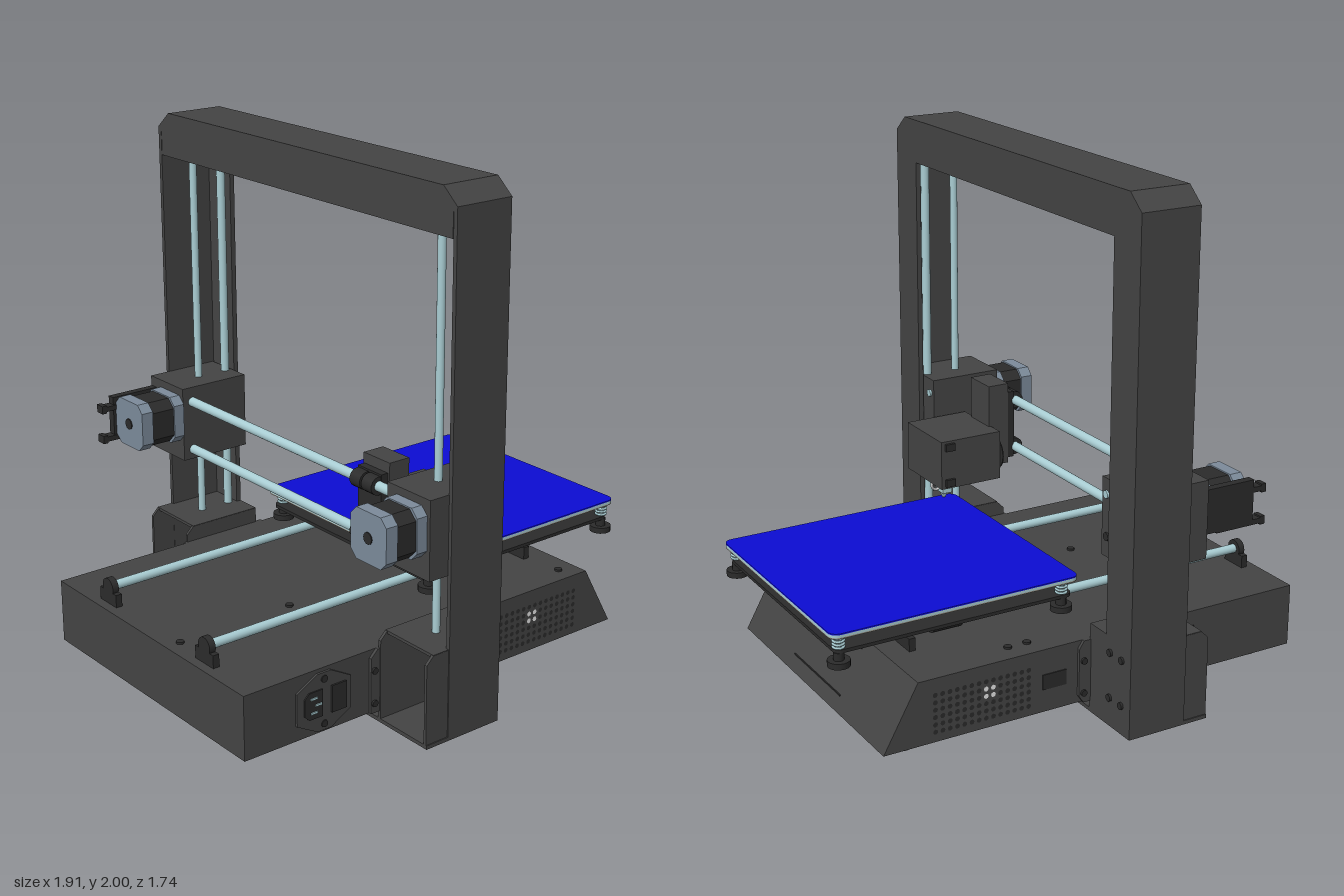
import * as THREE from 'three';

const mat = (name, color) => Object.assign(new THREE.MeshStandardMaterial({ color }), { name });

export function createModel() {
  const model = new THREE.Group();
  model.name = 'desktopPrinter';
  const dark = mat('dark grey metal', 0x444444);
  const black = mat('black plastic', 0x2b2b2b);
  const steel = mat('pale steel', 0xa9cdd3);
  const motorGrey = mat('motor grey', 0x7c8b9b);
  const blue = mat('blue print surface', 0x0c0cd2);
  const beige = mat('beige bed underside', 0x99958a);
  const white = mat('white opening', 0xf4f4f4);

  const add = (name, geo, m) => {
    const mesh = new THREE.Mesh(geo, m);
    mesh.name = name;
    model.add(mesh);
    return mesh;
  };
  const box = (name, m, x0, x1, y0, y1, z0, z1) => add(name,
    new THREE.BoxGeometry(x1 - x0, y1 - y0, Math.abs(z1 - z0))
      .translate((x0 + x1) / 2, (y0 + y1) / 2, (z0 + z1) / 2), m);
  // Cylinder between two points
  const rod = (name, m, r, a, b, seg = 16, r2 = r) => {
    const A = new THREE.Vector3(...a), B = new THREE.Vector3(...b);
    const d = B.clone().sub(A);
    const mesh = add(name, new THREE.CylinderGeometry(r2, r, d.length(), seg), m);
    mesh.position.copy(A).add(B).multiplyScalar(0.5);
    mesh.quaternion.setFromUnitVectors(new THREE.Vector3(0, 1, 0), d.normalize());
    return mesh;
  };
  const poly = (pts) => new THREE.Shape(pts.map(p => new THREE.Vector2(...p)));
  const extrude = (shape, depth) => new THREE.ExtrudeGeometry(shape, { depth, bevelEnabled: false, curveSegments: 8 });
  // xy outline extruded from z0 to z1
  const slabZ = (name, m, pts, z0, z1) => add(name, extrude(poly(pts), z1 - z0).translate(0, 0, z0), m);
  // (-z, y) outline extruded from x0 to x1
  const slabX = (name, m, pts, x0, x1) =>
    add(name, extrude(poly(pts), x1 - x0).rotateY(Math.PI / 2).translate(x0, 0, 0), m);
  // Horizontal plate with rounded corners
  const plate = (name, m, x0, x1, y0, y1, w, r) => {
    const s = new THREE.Shape();
    const c = [[x1 - r, w - r, 0], [x0 + r, w - r, 1], [x0 + r, r - w, 2], [x1 - r, r - w, 3]];
    for (const [x, z, q] of c) s.absarc(x, z, r, q * Math.PI / 2, (q + 1) * Math.PI / 2, false);
    s.closePath();
    return add(name, extrude(s, y1 - y0).rotateX(-Math.PI / 2).translate(0, y0, 0), m);
  };

  // Base housing with sloped nose, and feet
  slabZ('baseHousing', dark, [[-0.96, 0.05], [0.82, 0.05], [0.68, 0.3], [-0.96, 0.3]], -0.6, 0.6);
  for (const x of [-0.84, 0.69]) for (const z of [-0.48, 0.48])
    rod('foot', black, 0.042, [x, 0, z], [x, 0.05, z], 20, 0.055);
  box('crossPlate', dark, -0.37, -0.03, 0.005, 0.02, -0.87, 0.87);

  // Gantry: chamfered front panel, outer skin and rear of the top beam
  const outer = [[-0.87, 0.02], [-0.87, 1.94], [-0.8, 2], [0.8, 2], [0.87, 1.94], [0.87, 0.02]];
  const inner = [[0.71, 0.02], [0.71, 1.83], [-0.71, 1.83], [-0.71, 0.02]];
  slabX('gantryFront', dark, [...outer, ...inner], -0.05, -0.03);
  const skin = outer.map(([z, y]) => [z * 0.98, y > 1.9 ? y - 0.02 : y]).reverse();
  slabX('gantrySkin', dark, [...outer, ...skin], -0.27, -0.05);
  slabX('beamBack', dark, [[-0.85, 1.83], [-0.85, 1.93], [-0.79, 1.98], [0.79, 1.98], [0.85, 1.93], [0.85, 1.83]], -0.27, -0.25);
  box('beamUnderside', dark, -0.25, -0.05, 1.83, 1.845, -0.71, 0.71);

  for (const s of [-1, 1]) {
    // Foot housings, open at the rear
    const side = [[-0.37, 0.02], [-0.03, 0.02], [-0.03, 0.36], [-0.34, 0.36], [-0.37, 0.33]];
    for (const z of [0.61, 0.86]) slabZ('footHousingSide', dark, side, s * z - 0.006, s * z + 0.006);
    box('footHousingTop', dark, -0.34, -0.03, 0.35, 0.362, s * 0.605, s * 0.865);
    box('footHousingFront', dark, -0.05, -0.03, 0.02, 0.362, s * 0.605, s * 0.72);
    slabZ('mountFlange', dark, [[-0.41, 0.05], [0, 0.05], [0.02, 0.08], [0.02, 0.27], [0, 0.3], [-0.38, 0.3], [-0.41, 0.27]],
      s * 0.606 - 0.006, s * 0.606 + 0.006);
    for (const y of [0.09, 0.22]) for (const x of [-0.395, 0])
      rod('flangeScrew', black, 0.013, [x, y, s * 0.61], [x, y, s * 0.62], 10);
    for (const y of [0.12, 0.3]) for (const z of [0.74, 0.815])
      rod('columnScrew', black, 0.014, [-0.03, y, s * z], [-0.021, y, s * z], 10);

    // Vertical guide rod and lead screw
    rod('zGuideRod', steel, 0.017, [-0.08, 0.36, s * 0.73], [-0.08, 1.84, s * 0.73]);
    rod('zLeadScrew', steel, 0.015, [-0.21, 0.36, s * 0.73], [-0.21, 1.84, s * 0.73]);

    // End blocks carrying the horizontal rods
    box('endBlock', dark, -0.355, -0.055, 0.64, 0.94, s * 0.63, s * 0.855);
    rod('endBlockScrew', black, 0.016, [-0.055, 0.72, s * 0.665], [-0.048, 0.72, s * 0.665], 10);
    rod('rodEnd', steel, 0.015, [-0.055, 0.88, s * 0.66], [-0.047, 0.88, s * 0.66], 12);

    // Bed guide rods, supports and bearings
    const z = s * 0.315;
    rod('bedRod', steel, 0.018, [-0.92, 0.365, z], [0.59, 0.365, z]);
    for (const x of [-0.91, 0.58]) {
      rod('rodSupport', black, 0.036, [x - 0.013, 0.365, z], [x + 0.013, 0.365, z], 16);
      box('rodSupportBase', black, x - 0.013, x + 0.013, 0.3, 0.35, z - 0.055, z + 0.055);
    }
    rod('bedBearing', black, 0.037, [0.36, 0.365, z], [0.48, 0.365, z], 16);
    box('bearingBlock', black, 0.35, 0.49, 0.385, 0.416, z - 0.07, z + 0.07);

    // Levelling springs and thumb nuts
    for (const x of [0, 0.91]) {
      const p = s * 0.45;
      rod('levelScrew', steel, 0.011, [x, 0.37, p], [x, 0.48, p], 10);
      for (let i = 0; i < 4; i++) {
        const coil = add('springCoil', new THREE.TorusGeometry(0.02, 0.005, 6, 14).rotateX(Math.PI / 2), steel);
        coil.position.set(x, 0.435 + i * 0.012, p);
      }
      rod('thumbNut', black, 0.042, [x, 0.362, p], [x, 0.385, p], 16);
      rod('thumbNutNeck', black, 0.02, [x, 0.385, p], [x, 0.415, p], 12);
    }

    // Vent grid on the base flank
    for (let i = 0; i < 14; i++) for (let j = 0; j < 6; j++) {
      const open = (i === 5 || i === 6) && (j === 3 || j === 4);
      const hole = add('ventHole', new THREE.CircleGeometry(0.01, 8), open ? white : black);
      hole.position.set(0.23 + i * 0.0295, 0.09 + j * 0.029, s * 0.602);
      if (s < 0) hole.rotation.y = Math.PI;
    }
  }

  // Heated bed
  plate('bedCarriagePlate', black, -0.04, 0.93, 0.415, 0.428, 0.47, 0.03);
  plate('bedOpening', beige, 0.25, 0.67, 0.411, 0.415, 0.24, 0.18);
  plate('bedHeater', beige, -0.06, 0.95, 0.478, 0.483, 0.485, 0.035);
  plate('bedGlass', steel, -0.06, 0.95, 0.483, 0.493, 0.485, 0.035);
  plate('bedSurface', blue, -0.06, 0.95, 0.493, 0.498, 0.485, 0.035);

  // Horizontal rods and print head
  for (const y of [0.68, 0.88]) rod('xRod', steel, 0.019, [-0.31, y, -0.64], [-0.31, y, 0.64]);
  box('headCarriage', dark, -0.27, -0.18, 0.62, 0.96, 0.395, 0.54);
  for (const y of [0.68, 0.88]) for (const z of [0.435, 0.5])
    rod('headBearing', black, 0.035, [-0.31, y, z - 0.028], [-0.31, y, z + 0.028], 14);
  box('bearingCarrier', black, -0.3, -0.26, 0.64, 0.92, 0.4, 0.53);
  box('headCover', dark, -0.19, 0.077, 0.59, 0.79, 0.325, 0.61);
  for (const y of [0.615, 0.765]) for (const z of [0.32, 0.615])
    box('coverClip', black, 0.02, 0.06, y - 0.015, y + 0.015, z - 0.007, z + 0.007);
  rod('coolingFan', black, 0.07, [-0.194, 0.69, 0.37], [-0.19, 0.69, 0.37], 20);
  box('heaterBlock', steel, -0.02, 0.02, 0.53, 0.56, 0.42, 0.48);
  rod('heatBreak', steel, 0.012, [0, 0.56, 0.45], [0, 0.59, 0.45], 10);
  rod('nozzle', steel, 0.007, [0, 0.505, 0.45], [0, 0.53, 0.45], 10, 0.018);
  const wire = new THREE.CatmullRomCurve3([[0, 0.545, 0.46], [0.035, 0.54, 0.46], [0.055, 0.56, 0.45], [0.055, 0.6, 0.44]]
    .map(p => new THREE.Vector3(...p)));
  add('heaterWire', new THREE.TubeGeometry(wire, 12, 0.006, 6), white);

  // Motors with chamfered square caps around a dark core
  const motor = (name, z, x0) => {
    const cap = (h, c) => [[-h, c - h], [c - h, -h], [h - c, -h], [h, c - h], [h, h - c], [h - c, h], [c - h, h], [-h, h - c]]
      .map(([a, b]) => [a - z, b + 0.815]);
    slabX(name + 'RearCap', motorGrey, cap(0.095, 0.03), x0, x0 + 0.05);
    slabX(name + 'Core', black, cap(0.09, 0.035), x0 + 0.05, -0.4);
    slabX(name + 'FrontCap', motorGrey, cap(0.095, 0.03), -0.4, -0.355);
    rod(name + 'Shaft', black, 0.022, [x0 - 0.004, 0.815, z], [x0, 0.815, z], 14);
  };
  motor('drive', 0.745, -0.535);
  motor('feeder', -0.72, -0.55);
  // Feeder arms beside the rear motor
  box('feederPlate', black, -0.56, -0.355, 0.73, 0.9, -0.85, -0.818);
  for (const y of [0.735, 0.86]) {
    box('feederArm', black, -0.6, -0.4, y - 0.01, y + 0.01, -0.85, -0.81);
    box('feederArmTip', black, -0.615, -0.595, y - 0.016, y + 0.016, -0.85, -0.81);
  }

  // Power inlet with switch, card slot and rear hatch
  slabZ('powerInlet', dark, [[-0.74, 0.11], [-0.65, 0.06], [-0.59, 0.06], [-0.5, 0.11], [-0.5, 0.235], [-0.59, 0.285], [-0.65, 0.285], [-0.74, 0.235]], 0.6, 0.609);
  slabZ('inletSocket', black, [[-0.71, 0.14], [-0.69, 0.12], [-0.63, 0.12], [-0.63, 0.225], [-0.69, 0.225], [-0.71, 0.205]], 0.609, 0.614);
  for (const [x, y] of [[-0.67, 0.2], [-0.67, 0.145], [-0.65, 0.172]])
    box('inletPin', steel, x - 0.014, x + 0.014, y - 0.004, y + 0.004, 0.612, 0.618);
  box('powerSwitch', black, -0.59, -0.525, 0.12, 0.225, 0.609, 0.616);
  for (const y of [0.085, 0.26]) rod('inletScrew', black, 0.014, [-0.62, y, 0.608], [-0.62, y, 0.613], 10);
  box('cardSlotRim', black, 0.088, 0.177, 0.2, 0.231, 0.6, 0.603);
  box('cardSlot', white, 0.094, 0.171, 0.205, 0.226, 0.602, 0.605);
  box('rearHatch', black, -0.5, -0.43, 0.13, 0.24, -0.604, -0.6);
  box('rearSlot', black, 0.07, 0.17, 0.14, 0.2, -0.604, -0.6);

  // Seams on the nose and screws on the deck
  for (const [x, y] of [[0.698, 0.27], [0.792, 0.1]])
    box('noseSeam', black, x - 0.004, x + 0.003, y - 0.003, y + 0.003, -0.2, 0.2);
  for (const [x, z] of [[0.19, -0.52], [0.27, -0.52], [0.6, 0.53], [-0.9, 0.13], [-0.41, 0.13]])
    rod('deckScrew', black, 0.015, [x, 0.3, z], [x, 0.308, z], 12);

  return model;
}
